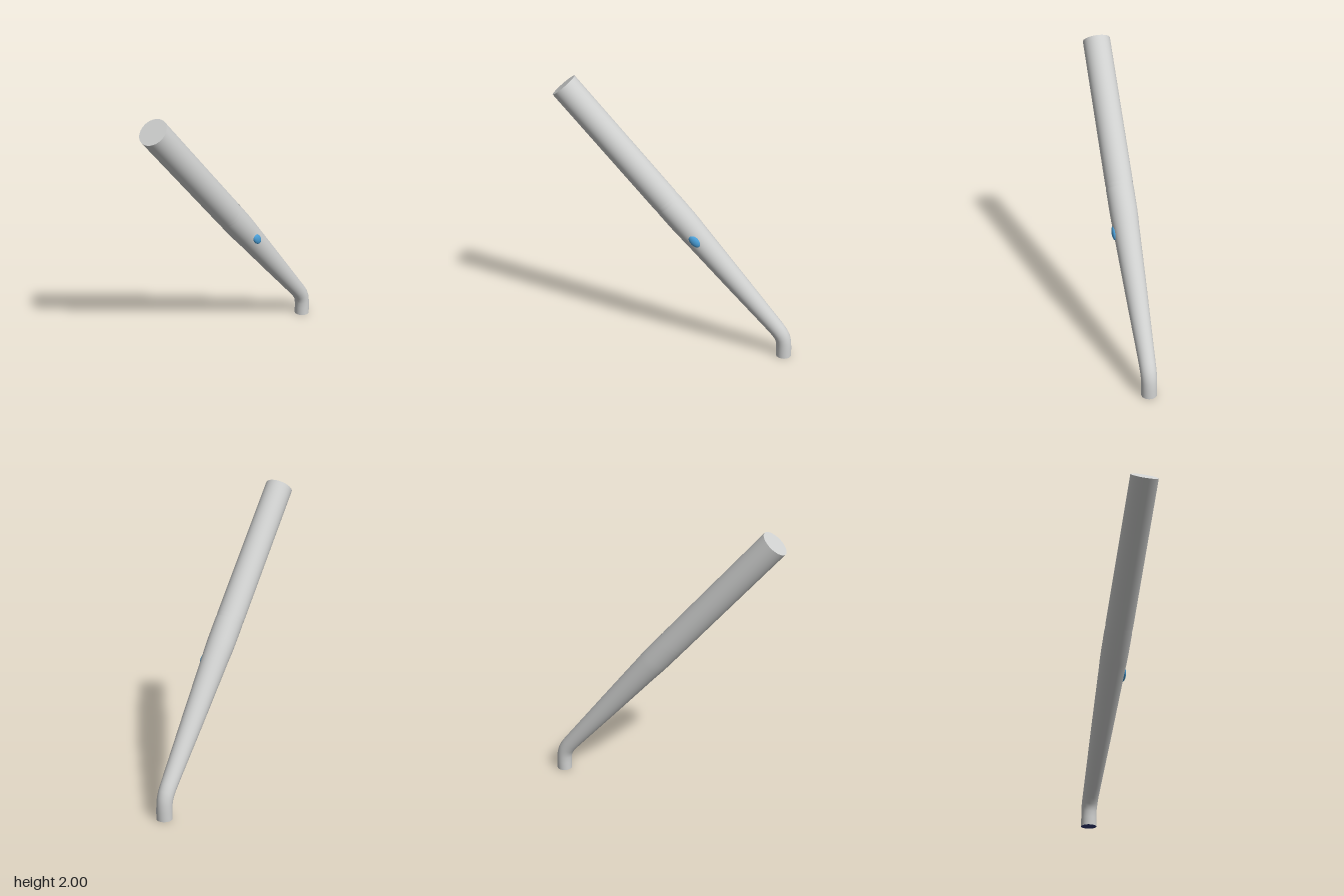
import * as THREE from 'three';

const SEG = 48;
const CX = -0.003; // the tube sits slightly off centre to make room for the button

// Round tube swept through [z, y, radius] stations in the x = CX plane, listed from top to bottom
function sweep(stations) {
  const pos = [], idx = [];
  stations.forEach(([z, y, r], i) => {
    const a = stations[Math.max(i - 1, 0)], b = stations[Math.min(i + 1, stations.length - 1)];
    const t = new THREE.Vector2(a[0] - b[0], a[1] - b[1]).normalize();
    for (let k = 0; k < SEG; k++) {
      const u = (k / SEG) * Math.PI * 2, c = Math.cos(u) * r, s = Math.sin(u) * r;
      pos.push(CX + c, y - s * t.x, z + s * t.y);
    }
  });
  for (let i = 0; i < stations.length - 1; i++) {
    for (let k = 0; k < SEG; k++) {
      const a = i * SEG + k, b = i * SEG + (k + 1) % SEG;
      idx.push(a, b, a + SEG, b, b + SEG, a + SEG);
    }
  }
  const g = new THREE.BufferGeometry();
  g.setAttribute('position', new THREE.Float32BufferAttribute(pos, 3));
  g.setIndex(idx);
  g.computeVertexNormals();
  return g;
}

export function createModel() {
  const model = new THREE.Group();
  const material = (name, color, side = THREE.FrontSide) => {
    const m = new THREE.MeshStandardMaterial({ color, side });
    m.name = name;
    return m;
  };
  const grey = material('light grey', 0xd0d1d0, THREE.DoubleSide);
  const blue = material('button blue', 0x4a9fd8);
  const navy = material('navy', 0x303a78);
  const add = (name, geometry, mat) => {
    const mesh = new THREE.Mesh(geometry, mat);
    mesh.name = name;
    model.add(mesh);
    return mesh;
  };

  // Main axis, measured upward from the joint
  const axis = new THREE.Vector3(0, 0.763, 0.646).normalize();
  const at = (d, r) => [0.07 + axis.z * d, 1.141 + axis.y * d, r];
  const top = at(1.046, 0.095);

  // Straight handle with a flat end
  add('handle', sweep([top, at(0.015, 0.095)]), grey);
  const cap = add('handleEnd', new THREE.CircleGeometry(0.095, SEG), grey);
  cap.position.set(CX, top[1], top[0]);
  cap.quaternion.setFromUnitVectors(new THREE.Vector3(0, 0, 1), axis);

  // Narrow, slightly recessed joint band
  add('jointBand', sweep([at(0.02, 0.0935), at(-0.02, 0.0935)]), grey);

  // Tapering shaft that bends down into the tip
  add('shaft', sweep([
    at(-0.015, 0.095), at(-0.17, 0.0945), at(-0.23, 0.093), at(-0.3, 0.0895),
    [-0.4, 0.58, 0.0745], [-0.66, 0.268, 0.0585], [-0.708, 0.21, 0.056],
    [-0.735, 0.172, 0.055], [-0.75, 0.14, 0.054], [-0.758, 0.105, 0.053],
    [-0.761, 0.06, 0.053], [-0.761, 0, 0.053],
  ]), grey);

  // Dark face closing the tip
  const tip = add('tipFace', new THREE.CircleGeometry(0.053, SEG), navy);
  tip.position.set(CX, 0, -0.761);
  tip.rotation.x = Math.PI / 2;

  // Oval button on the left side
  const button = add('button', new THREE.SphereGeometry(1, 32, 20), blue);
  button.scale.set(0.018, 0.05, 0.03);
  button.position.set(0.082, 0.897, -0.132);
  button.quaternion.setFromUnitVectors(new THREE.Vector3(0, 1, 0), axis);

  return model;
}
